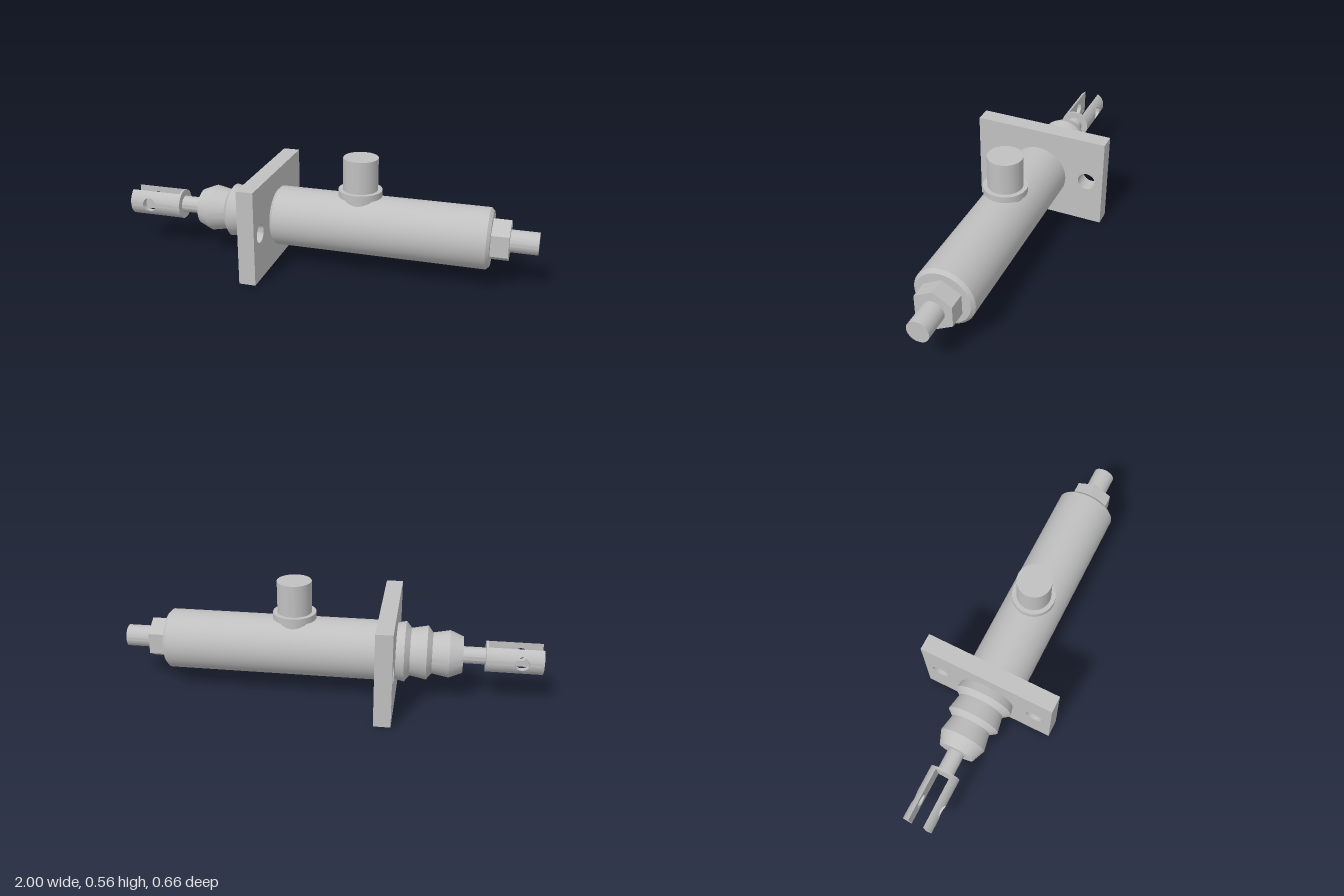
import * as THREE from 'three';
import { toCreasedNormals } from 'three/addons/utils/BufferGeometryUtils.js';

const AXIS_Y = 0.228;
const CREASE = 0.5;

// Solid of revolution about y from [radius, height] pairs, heights ascending
function turned(points, segments = 64) {
  const profile = points.map(([r, h]) => new THREE.Vector2(r, h));
  return toCreasedNormals(new THREE.LatheGeometry(profile, segments), CREASE);
}

// Same, laid along the x axis
const turnedX = (points) => turned(points).rotateZ(-Math.PI / 2);

// Fork prong: a slice of a round bar with a cross hole, swept in loops around the hole
function prongGeometry(x0, x1, radius, gap, holeX, holeR) {
  const yMax = Math.sqrt(radius * radius - gap * gap);
  const n = 20, steps = 6;
  const corners = [[x0, -yMax], [x1, -yMax], [x1, yMax], [x0, yMax]];
  const rim = [];
  corners.forEach(([ax, ay], i) => {
    const [bx, by] = corners[(i + 1) % 4];
    for (let k = 0; k < n; k++) rim.push([ax + (bx - ax) * k / n, ay + (by - ay) * k / n]);
  });
  const positions = [], index = [];
  const rows = steps + 4;
  for (const [x, y] of rim) {
    const a = Math.atan2(y, x - holeX);
    const hx = holeX + holeR * Math.cos(a), hy = holeR * Math.sin(a);
    positions.push(hx, hy, gap);
    for (let s = 0; s <= steps; s++) {
      const px = hx + (x - hx) * s / steps, py = hy + (y - hy) * s / steps;
      positions.push(px, py, Math.sqrt(Math.max(radius * radius - py * py, gap * gap)));
    }
    positions.push(x, y, gap, hx, hy, gap);
  }
  for (let i = 0; i < rim.length; i++) {
    const j = (i + 1) % rim.length;
    for (let k = 0; k < rows - 1; k++) {
      const a = i * rows + k, b = j * rows + k;
      index.push(a, a + 1, b, b, a + 1, b + 1);
    }
  }
  const geometry = new THREE.BufferGeometry();
  geometry.setAttribute('position', new THREE.Float32BufferAttribute(positions, 3));
  geometry.setIndex(index);
  return toCreasedNormals(geometry, CREASE);
}

export function createModel() {
  const model = new THREE.Group();
  model.name = 'hydraulicCylinder';
  const steel = new THREE.MeshStandardMaterial({ color: 0xc0c0c0 });
  steel.name = 'grey steel';

  const add = (name, geometry, x = 0, y = AXIS_Y) => {
    const mesh = new THREE.Mesh(geometry, steel);
    mesh.name = name;
    mesh.position.set(x, y, 0);
    model.add(mesh);
    return mesh;
  };

  // Main barrel with chamfered ends
  add('barrel', turnedX([[0, -0.24], [0.128, -0.24], [0.143, -0.225], [0.143, 0.775], [0.128, 0.79], [0, 0.79]]));

  // Mounting flange with two bolt holes
  const plate = new THREE.Shape();
  plate.moveTo(-0.33, -0.228).lineTo(0.33, -0.228).lineTo(0.33, 0.228).lineTo(-0.33, 0.228).closePath();
  for (const side of [-1, 1]) {
    plate.holes.push(new THREE.Path().absarc(side * 0.248, 0, 0.044, 0, Math.PI * 2, true));
  }
  const flange = new THREE.ExtrudeGeometry(plate, { depth: 0.08, bevelEnabled: false, curveSegments: 32 });
  add('mountingFlange', toCreasedNormals(flange.rotateY(Math.PI / 2), CREASE), -0.32);

  // Ribbed boot
  add('bellows', turnedX([
    [0, -0.63], [0.086, -0.63], [0.112, -0.567], [0.097, -0.487], [0.128, -0.463],
    [0.113, -0.385], [0.144, -0.36], [0.134, -0.318], [0, -0.318],
  ]));

  // Push rod and the closed end of its fork
  add('pushRod', turnedX([[0, -0.742], [0.04, -0.742], [0.04, -0.62], [0, -0.62]]));
  add('forkBase', turnedX([[0, -0.745], [0.0725, -0.745], [0.0725, -0.735], [0, -0.735]]));

  // Two fork prongs with pin holes
  const prong = prongGeometry(-1, -0.745, 0.0725, 0.037, -0.9, 0.034);
  add('forkProngLeft', prong);
  add('forkProngRight', prong).rotation.x = Math.PI;

  // Hex nut and end stud
  const nut = new THREE.CylinderGeometry(0.101, 0.101, 0.084, 6).rotateY(Math.PI / 6).rotateZ(-Math.PI / 2);
  add('hexNut', toCreasedNormals(nut, CREASE), 0.83);
  add('endStud', turnedX([[0, 0.86], [0.052, 0.86], [0.052, 1], [0, 1]]));

  // Collared port on top
  add('port', turned([
    [0, 0.3], [0.082, 0.3], [0.082, 0.373], [0.103, 0.373], [0.103, 0.404],
    [0.082, 0.404], [0.082, 0.558], [0, 0.558],
  ]), 0.17, 0);

  return model;
}
